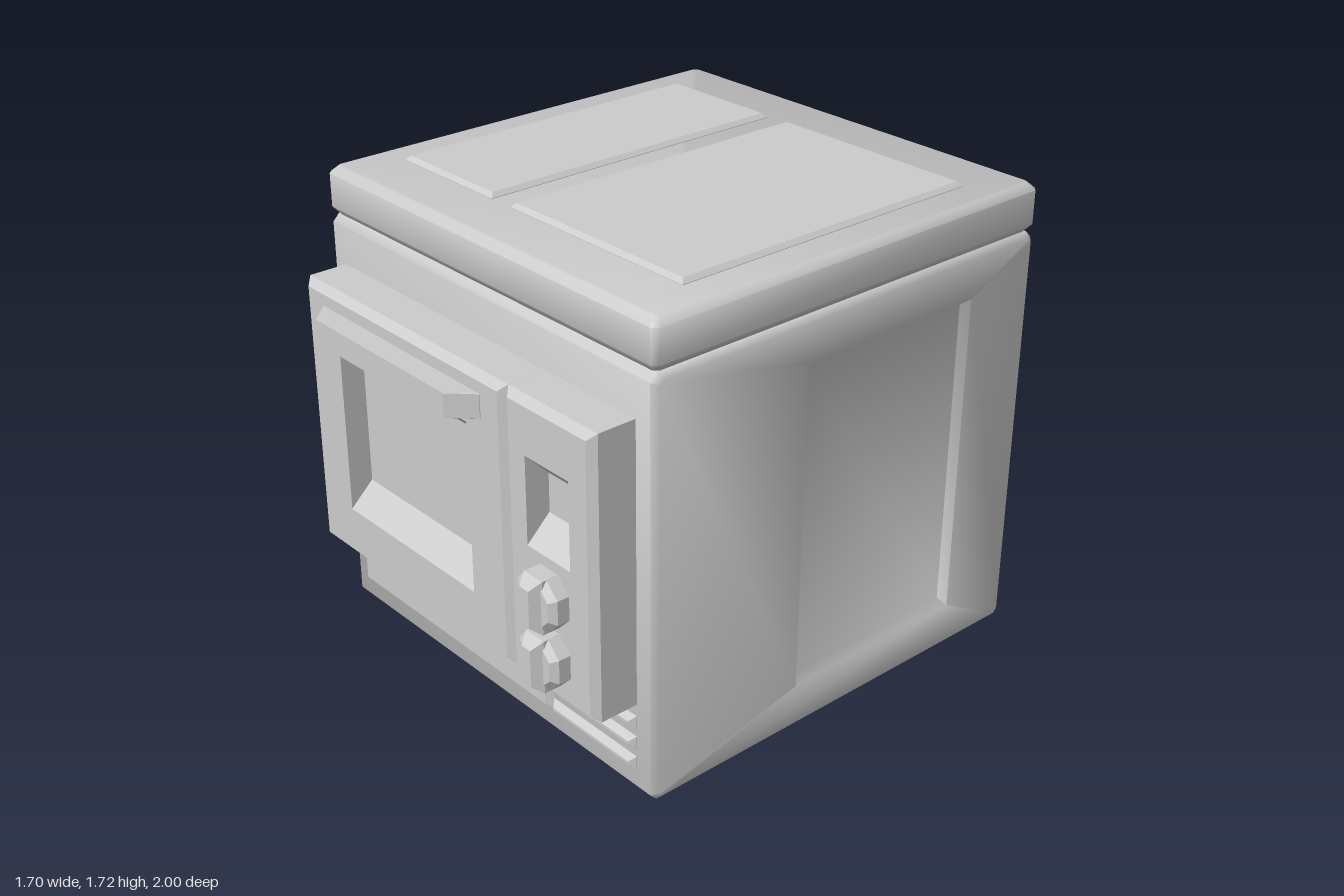
import * as THREE from 'three';
import { toCreasedNormals } from 'three/addons/utils/BufferGeometryUtils.js';

const material = new THREE.MeshStandardMaterial({ color: 0xcccccc });

// Skin a run of rectangles [x0, x1, y0, y1, z, cornerCut], back to front, capped at both ends
function loft(rings, crease = 0.3) {
  const n = 8, pos = [], index = [];
  for (const [x0, x1, y0, y1, z, c = 0.001] of rings) {
    const outline = [
      [x1, y0 + c], [x1, y1 - c], [x1 - c, y1], [x0 + c, y1],
      [x0, y1 - c], [x0, y0 + c], [x0 + c, y0], [x1 - c, y0],
    ];
    for (const [x, y] of outline) pos.push(x, y, z);
  }
  for (let r = 0; r < rings.length - 1; r++) {
    for (let i = 0; i < n; i++) {
      const a = r * n + i, b = r * n + (i + 1) % n;
      index.push(a, b, b + n, a, b + n, a + n);
    }
  }
  const last = (rings.length - 1) * n;
  for (let i = 1; i < n - 1; i++) {
    index.push(0, i + 1, i);
    index.push(last, last + i, last + i + 1);
  }
  const geo = new THREE.BufferGeometry();
  geo.setAttribute('position', new THREE.Float32BufferAttribute(pos, 3));
  geo.setIndex(index);
  return toCreasedNormals(geo, crease);
}

// Block with a bevelled front rim, and an optional sunken opening with sloped top and bottom
function panel(x0, x1, y0, y1, z0, z1, bevel, opening) {
  const rings = [
    [x0, x1, y0, y1, z0],
    [x0, x1, y0, y1, z1 - bevel],
    [x0 + bevel, x1 - bevel, y0 + bevel, y1 - bevel, z1],
  ];
  if (opening) {
    const [a, b, c, d] = opening;
    rings.push([a, b, c, d, z1], [a, b, c + 0.085, d - 0.09, z1 - 0.09]);
  }
  return loft(rings);
}

export function createModel() {
  const model = new THREE.Group();
  const add = (name, geo, parent = model) => {
    const mesh = new THREE.Mesh(geo, material);
    mesh.name = name;
    parent.add(mesh);
    return mesh;
  };

  // Body, skinned from side to side, with a sunken panel in each side
  const half = [
    [-0.73, 0.97, 0, 1.53, 0.83, 0.025],
    [-0.71, 0.95, 0.02, 1.51, 0.85, 0.015],
    [-0.10, 0.66, 0.17, 1.37, 0.85],
    [-0.08, 0.64, 0.195, 1.345, 0.82],
  ];
  const mirrored = half.map((r) => r.map((v, i) => (i === 4 ? -v : v))).reverse();
  add('body', loft([...mirrored, ...half], 0.88).rotateY(Math.PI / 2));

  // Lid slab with bevelled edges
  add('lid', loft([
    [-0.825, 0.825, -0.705, 0.945, 1.53, 0.015],
    [-0.85, 0.85, -0.73, 0.97, 1.56, 0.02],
    [-0.85, 0.85, -0.73, 0.97, 1.68, 0.02],
    [-0.825, 0.825, -0.705, 0.945, 1.705, 0.015],
  ], 0.95).rotateX(-Math.PI / 2));

  // Raised pairs of panels on the top and back
  for (const [x0, x1] of [[-0.71, -0.22], [-0.12, 0.71]]) {
    add('topPanel', panel(x0, x1, -0.5, 0.745, 1.69, 1.722, 0.015).rotateX(-Math.PI / 2));
    add('backPanel', panel(-x1, -x0, 0.14, 1.4, 0.95, 1.0, 0.022).rotateY(Math.PI));
  }

  // Door with window, control panel with display, and drawer
  add('door', panel(-0.77, 0.34, 0.345, 1.365, 0.72, 0.9, 0.026, [-0.575, 0.145, 0.54, 1.17]));
  add('controlPanel', panel(0.34, 0.765, 0.345, 1.365, 0.72, 0.9, 0.026, [0.445, 0.655, 0.855, 1.17]));
  add('drawer', panel(-0.77, 0.34, 0.093, 0.3, 0.72, 0.752, 0.024));

  // Door handle with slanted ends
  add('handle', loft([
    [-0.655, 0.225, 1.21, 1.297, 0.895],
    [-0.655, 0.225, 1.21, 1.297, 0.902],
    [-0.575, 0.145, 1.21, 1.297, 0.982],
  ]));

  // Vent bars
  for (const y of [0.093, 0.172, 0.251]) {
    add('ventBar', panel(0.34, 0.765, y, y + 0.05, 0.72, 0.752, 0.02));
  }

  // Eight-sided knobs with a tapered grip
  for (const y of [0.72, 0.503]) {
    const knob = new THREE.Group();
    knob.name = 'knob';
    knob.position.set(0.55, y, 0);
    const oct = (r, z) => [-r, r, -r, r, z, r * 0.55];
    add('knobBase', loft([oct(0.097, 0.895), oct(0.097, 0.945), oct(0.075, 0.967)]), knob);
    add('knobGrip', loft([
      [-0.045, 0.045, -0.097, 0.097, 0.895],
      [-0.045, 0.045, -0.097, 0.097, 0.963],
      [-0.022, 0.022, -0.067, 0.067, 1.0],
    ]), knob);
    model.add(knob);
  }
  return model;
}
